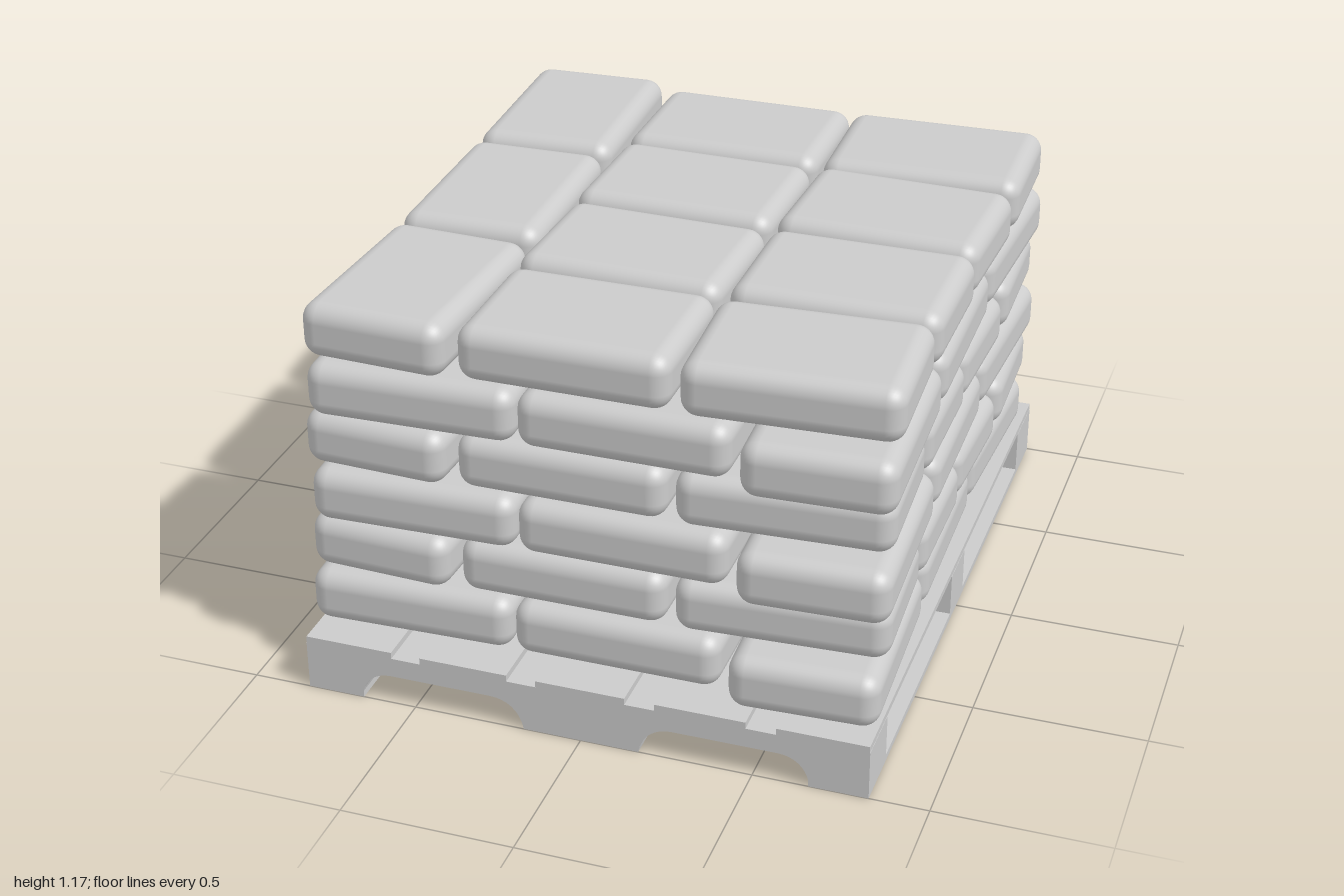
import * as THREE from 'three';
import { RoundedBoxGeometry } from 'three/addons/geometries/RoundedBoxGeometry.js';

const material = new THREE.MeshStandardMaterial({ color: 0xcccccc });

function addMesh(parent, name, geometry, x, y, z) {
  const mesh = new THREE.Mesh(geometry, material);
  mesh.name = name;
  mesh.position.set(x, y, z);
  parent.add(mesh);
  return mesh;
}

// Cross beam profile with three feet and two arched fork openings
function beamGeometry(depth) {
  const s = new THREE.Shape();
  s.moveTo(-0.83, 0.15);
  s.lineTo(-0.83, 0.02);
  s.lineTo(-0.66, 0.02);
  s.bezierCurveTo(-0.65, 0.06, -0.62, 0.09, -0.57, 0.09);
  s.lineTo(-0.27, 0.09);
  s.bezierCurveTo(-0.22, 0.09, -0.18, 0.06, -0.17, 0);
  s.lineTo(0.17, 0);
  s.bezierCurveTo(0.18, 0.06, 0.22, 0.09, 0.27, 0.09);
  s.lineTo(0.57, 0.09);
  s.bezierCurveTo(0.62, 0.09, 0.65, 0.06, 0.66, 0.02);
  s.lineTo(0.83, 0.02);
  s.lineTo(0.83, 0.15);
  s.closePath();
  const g = new THREE.ExtrudeGeometry(s, { depth, bevelEnabled: false, curveSegments: 8 });
  return g.translate(0, 0, -depth / 2);
}

function createPallet() {
  const pallet = new THREE.Group();
  pallet.name = 'pallet';
  // Deck slats
  for (let i = -2; i <= 2; i++) {
    addMesh(pallet, 'deckSlat', new THREE.BoxGeometry(0.262, 0.02, 2), i * 0.349, 0.16, 0);
  }
  // Cross beams
  for (const z of [-0.91, 0, 0.91]) {
    addMesh(pallet, 'crossBeam', beamGeometry(z === 0 ? 0.16 : 0.18), 0, 0, z);
  }
  // Bottom runners
  for (const x of [-0.745, 0.745]) {
    addMesh(pallet, 'bottomRunner', new THREE.BoxGeometry(0.17, 0.02, 2), x, 0.01, 0);
  }
  return pallet;
}

// One layer: a column of three lengthwise sacks and two columns of four crosswise ones.
// Each entry is x, z, turn.
const longSacks = [[-0.625, -0.66, 0.04], [-0.605, -0.03, 0.02], [-0.61, 0.605, -0.045]];
const wideSacks = [
  [-0.08, -0.69, 0], [-0.08, -0.24, -0.02], [-0.08, 0.22, -0.03], [-0.08, 0.675, 0],
  [0.535, -0.7, 0.03], [0.535, -0.245, -0.035], [0.535, 0.21, 0], [0.54, 0.665, 0.05],
];

function createLayer() {
  const layer = new THREE.Group();
  layer.name = 'sackLayer';
  const longSack = new RoundedBoxGeometry(0.425, 0.163, 0.605, 4, 0.052);
  const wideSack = new RoundedBoxGeometry(0.605, 0.163, 0.435, 4, 0.052);
  const place = (geometry) => ([x, z, turn]) => {
    addMesh(layer, 'sack', geometry, x, 0, z).rotation.y = turn;
  };
  longSacks.forEach(place(longSack));
  wideSacks.forEach(place(wideSack));
  return layer;
}

export function createModel() {
  const model = new THREE.Group();
  model.name = 'loadedPallet';
  model.add(createPallet());

  // Alternate layers are turned half round, each with a slight sideways shift
  const shifts = [-0.015, -0.015, 0.005, -0.013, 0.012, 0];
  shifts.forEach((shift, i) => {
    const layer = createLayer();
    layer.position.set(shift, 0.257 + i * 0.1672, 0);
    if (i % 2 === 0) layer.rotation.y = Math.PI;
    model.add(layer);
  });
  return model;
}
